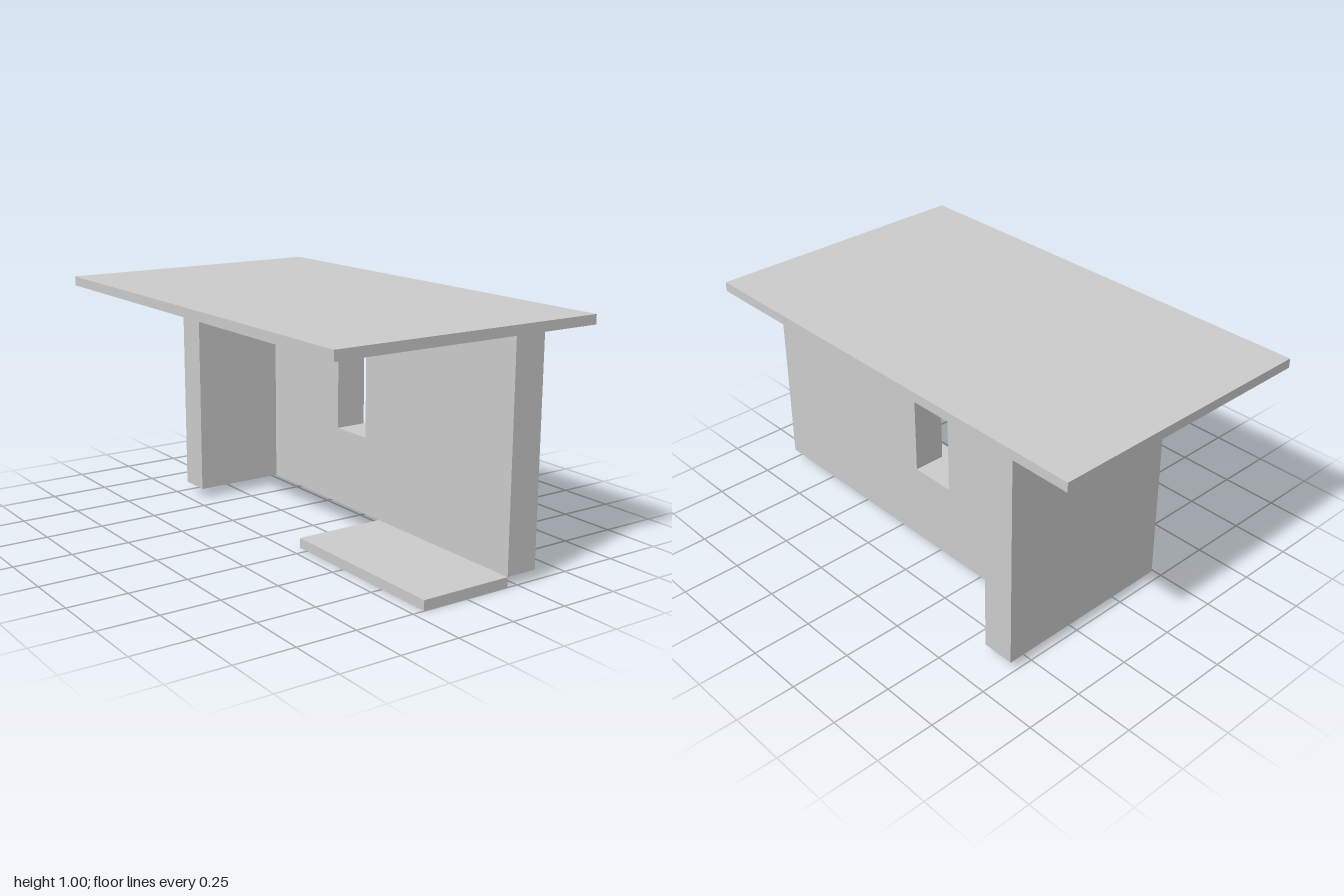
import * as THREE from 'three';

export function createModel() {
  const group = new THREE.Group();
  const concrete = new THREE.MeshStandardMaterial({ color: 0xcccccc });
  concrete.name = 'light grey';

  const add = (name, geometry) => {
    const mesh = new THREE.Mesh(geometry, concrete);
    mesh.name = name;
    group.add(mesh);
    return mesh;
  };

  // Box given by its minimum and maximum corners
  const slab = (name, [x0, y0, z0], [x1, y1, z1]) =>
    add(name, new THREE.BoxGeometry(x1 - x0, y1 - y0, z1 - z0))
      .position.set((x0 + x1) / 2, (y0 + y1) / 2, (z0 + z1) / 2);

  // Rectangle outline added to a shape or hole path
  const rect = (path, x0, y0, x1, y1) =>
    path.moveTo(x0, y0).lineTo(x1, y0).lineTo(x1, y1).lineTo(x0, y1).closePath();

  const floorTop = 0.042, roofBottom = 0.96;

  // Roof, floor and cross wall
  slab('roof', [-0.6, roofBottom, -1], [0.6, 1, 1]);
  slab('floorSlab', [-0.2, 0, 0.2], [0.2, floorTop, 1]);
  slab('backWall', [-0.2, floorTop, -0.74], [0.6, roofBottom, -0.6]);

  // Long wall with a window opening, drawn along -z and extruded along x
  const outline = new THREE.Shape();
  rect(outline, -1, floorTop, 0.6, roofBottom);
  const opening = new THREE.Path();
  rect(opening, -0.1, 0.38, 0.1, 0.763);
  outline.holes.push(opening);
  const wall = new THREE.ExtrudeGeometry(outline, { depth: 0.138, bevelEnabled: false });
  wall.rotateY(Math.PI / 2).translate(0.2, 0, 0);
  add('windowWall', wall);

  return group;
}
